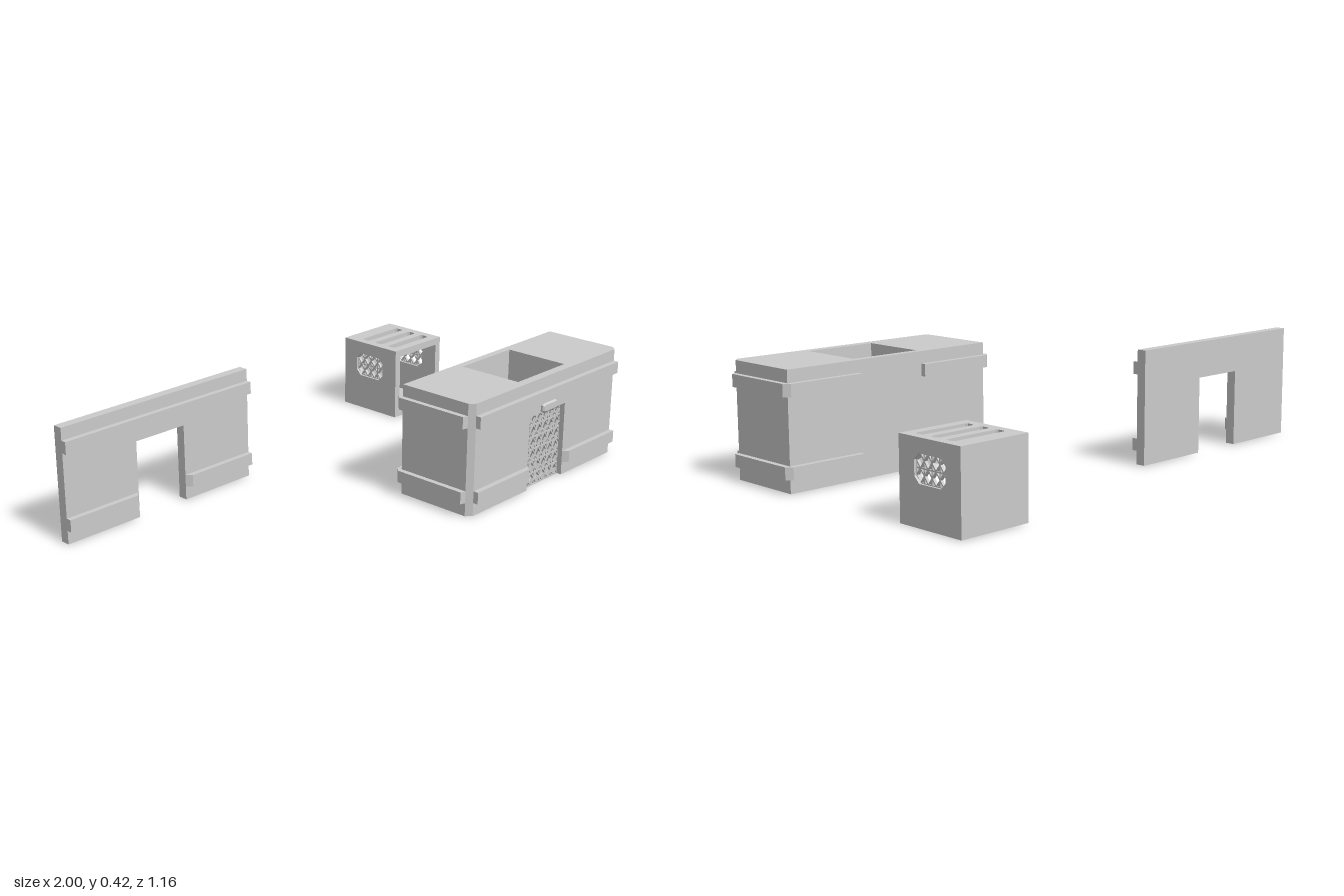
import * as THREE from 'three';
import { mergeGeometries } from 'three/addons/utils/BufferGeometryUtils.js';

const grey = new THREE.MeshStandardMaterial({ color: 0xcccccc, flatShading: true });
const H = 0.42, DOOR = 0.285;
const RAILS = [[0.05, 0.095], [0.33, 0.375]];

const pts = (list) => list.map(([x, y]) => new THREE.Vector2(x, y));

// rectangle with cut corners
function cutRect(x0, y0, x1, y1, c = 0) {
  if (!c) return [[x0, y0], [x1, y0], [x1, y1], [x0, y1]];
  return [[x0 + c, y0], [x1 - c, y0], [x1, y0 + c], [x1, y1 - c],
    [x1 - c, y1], [x0 + c, y1], [x0, y1 - c], [x0, y0 + c]];
}

function extrude(outline, depth, holes = []) {
  const shape = new THREE.Shape(pts(outline));
  holes.forEach((h) => shape.holes.push(new THREE.Path(pts(h))));
  return new THREE.ExtrudeGeometry(shape, { depth, bevelEnabled: false });
}

// outline in (x, z), raised from y0 to y1
const plan = (outline, y0, y1, holes) =>
  extrude(outline, y1 - y0, holes).rotateX(Math.PI / 2).translate(0, y1, 0);

// outline in (x, y), from z0 to z1
const upright = (outline, z0, z1, holes) => extrude(outline, z1 - z0, holes).translate(0, 0, z0);

// outline in (z, y), from x0 to x1
const sideways = (outline, x0, x1, holes) =>
  extrude(outline, x1 - x0, holes).rotateY(-Math.PI / 2).translate(x1, 0, 0);

function add(parent, name, geometry) {
  const mesh = new THREE.Mesh(geometry, grey);
  mesh.name = name;
  parent.add(mesh);
  return mesh;
}

// grille of square bars with a diamond in every cell, centred on the origin
function grille(w, h, cols, rows, t = 0.005) {
  const bars = [];
  const bar = (xa, ya, xb, yb) => {
    const g = new THREE.BoxGeometry(Math.hypot(xb - xa, yb - ya), t, t * 2);
    bars.push(g.rotateZ(Math.atan2(yb - ya, xb - xa)).translate((xa + xb) / 2, (ya + yb) / 2, 0));
  };
  const cw = w / cols, ch = h / rows;
  for (let i = 0; i <= cols; i++) bar(-w / 2 + i * cw, -h / 2, -w / 2 + i * cw, h / 2);
  for (let j = 0; j <= rows; j++) bar(-w / 2, -h / 2 + j * ch, w / 2, -h / 2 + j * ch);
  for (let i = 0; i < cols; i++) {
    for (let j = 0; j < rows; j++) {
      const x = -w / 2 + (i + 0.5) * cw, y = -h / 2 + (j + 0.5) * ch;
      const d = [[cw / 2, 0], [0, ch / 2], [-cw / 2, 0], [0, -ch / 2]];
      d.forEach(([a, b], k) => {
        const [c, e] = d[(k + 1) % 4];
        bar(x + a, y + b, x + c, y + e);
      });
    }
  }
  return mergeGeometries(bars);
}

// front rails: the upper one whole, the lower one split at the door with slanted ends
function frontRails(parent, x0, x1, doorL, doorR, z, t = 0.02) {
  add(parent, 'upperRail', plan(cutRect(x0, z, x1, z + t), ...RAILS[1]));
  add(parent, 'lowerRail', plan([[x0, z], [doorL, z], [doorL - 0.018, z + t], [x0, z + t]], ...RAILS[0]));
  add(parent, 'lowerRail', plan([[doorR, z], [x1, z], [x1, z + t], [doorR + 0.018, z + t]], ...RAILS[0]));
}

function wallPanel() {
  const g = new THREE.Group();
  g.name = 'wallPanel';
  const l = -0.69, r = -0.475, x0 = -1, x1 = -0.165;
  add(g, 'panelPlate', upright([[x0, 0], [l, 0], [l, DOOR], [r, DOOR], [r, 0], [x1, 0], [x1, H], [x0, H]],
    -0.317, -0.281));
  frontRails(g, x0, x1, l, r, -0.281);
  return g;
}

function mainBlock() {
  const g = new THREE.Group();
  g.name = 'mainBlock';
  const x0 = 0.10, x1 = 0.978, zb = 0.245, zf = 0.56, c = 0.02;
  const l = 0.433, r = 0.648, hx0 = 0.40, hx1 = 0.68, hz0 = 0.273, hz1 = 0.525;
  // lower body, open at the doorway
  add(g, 'lowerBody', plan([[x0, zb], [x1, zb], [x1, zf - c], [x1 - c, zf], [r, zf], [r, hz1], [hx1, hz1],
    [hx1, hz0], [hx0, hz0], [hx0, hz1], [l, hz1], [l, zf], [x0 + c, zf], [x0, zf - c]], 0, DOOR));
  // upper body, a ring round the shaft
  add(g, 'upperBody', plan([[x0, zb], [x1, zb], [x1, zf - c], [x1 - c, zf], [x0 + c, zf], [x0, zf - c]],
    DOOR, H, [cutRect(hx0, hz0, hx1, hz1)]));
  frontRails(g, x0 + c, x1 - c, l, r, zf);
  // rails wrapping each side and rear corner
  const mid = (x0 + x1) / 2;
  for (const s of [-1, 1]) {
    const w = (x1 - x0) / 2, inner = 0.14;
    const outline = [[w, zf - c], [w + 0.02, zf - c - 0.006], [w + 0.02, zb], [w, zb - 0.02],
      [inner, zb - 0.02], [inner, zb], [w, zb]].map(([x, z]) => [mid + s * x, z]);
    for (const [y0, y1] of RAILS) add(g, 'cornerRail', plan(outline, y0, y1));
  }
  // door grille and the small lamp above it
  add(g, 'doorGrille', grille(r - l, DOOR, 6, 6)).position.set((l + r) / 2, DOOR / 2, 0.535);
  const lamp = new THREE.ExtrudeGeometry(new THREE.Shape(pts(cutRect(-0.037, -0.012, 0.037, 0.012, 0.004))),
    { depth: 0.008, bevelThickness: 0.006, bevelSize: 0.006, bevelSegments: 1 });
  add(g, 'doorLamp', lamp).position.set((l + r) / 2, 0.304, zf);
  return g;
}

function ventBox() {
  const g = new THREE.Group();
  g.name = 'ventBox';
  const x0 = 0.68, x1 = 0.96, z0 = -0.578, z1 = -0.297, t = 0.028;
  add(g, 'floor', plan(cutRect(x0, z0, x1, z1), 0, 0.02));
  add(g, 'backWall', upright(cutRect(x0 + t, 0.02, x1 - t, DOOR - t), z0, z0 + t));
  // roof with three slots
  const slots = [-0.493, -0.423, -0.353].map((z) => cutRect(0.713, z - 0.019, 0.927, z + 0.019, 0.007));
  add(g, 'roof', plan(cutRect(x0, z0, x1, z1), DOOR - t, DOOR, slots));
  // side walls with grilled windows
  const win = cutRect(-0.511, 0.14, -0.368, 0.235, 0.022);
  for (const x of [x0, x1 - t]) {
    add(g, 'sideWall', sideways(cutRect(z0, 0.02, z1, DOOR - t), x, x + t, [win]));
    const m = add(g, 'windowGrille', grille(0.143, 0.095, 4, 2));
    m.rotation.y = Math.PI / 2;
    m.position.set(x + t / 2, 0.1875, -0.4395);
  }
  return g;
}

export function createModel() {
  const model = new THREE.Group();
  model.name = 'modularBuilding';
  model.add(wallPanel(), mainBlock(), ventBox());
  return model;
}
